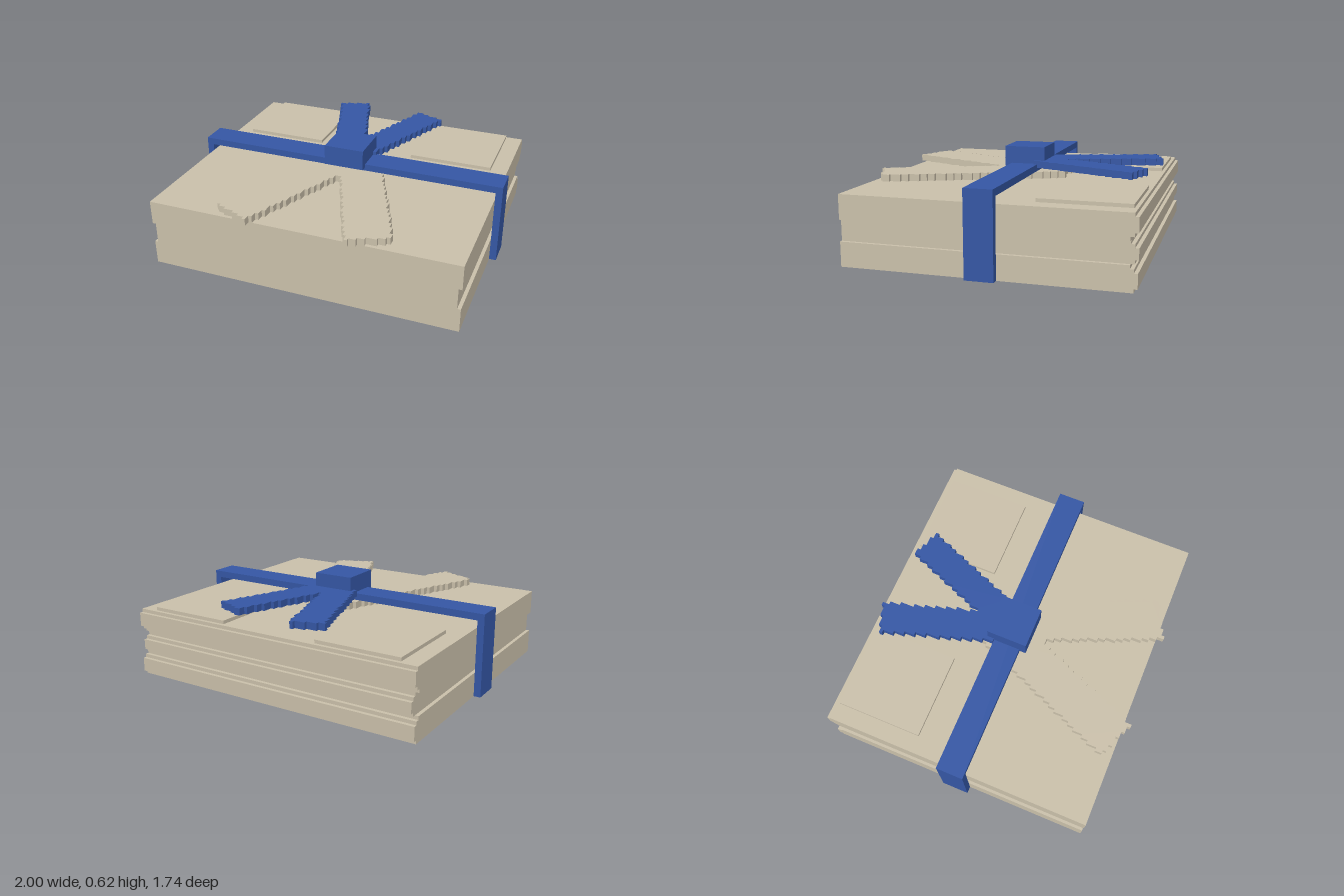
import * as THREE from 'three';

// The model sits on a grid of small cubes, 94 cells across
const U = 2 / 94;

export function createModel() {
  const model = new THREE.Group();
  const linen = new THREE.MeshStandardMaterial({ color: 0xcbc1ab });
  linen.name = 'linen';
  const blue = new THREE.MeshStandardMaterial({ color: 0x3557a5 });
  blue.name = 'ribbonBlue';

  const add = (name, geometry, material) => {
    const mesh = new THREE.Mesh(geometry.scale(U, U, U), material);
    mesh.name = name;
    model.add(mesh);
  };

  // Box given by its limits in cells
  const box = (name, material, x0, x1, y0, y1, z0, z1) => {
    const g = new THREE.BoxGeometry(x1 - x0, y1 - y0, z1 - z0);
    add(name, g.translate((x0 + x1) / 2, (y0 + y1) / 2, (z0 + z1) / 2), material);
  };

  // Folded layer: flat front at z = 39, stepped back edge listed as [top y, back z]
  const layer = (name, halfWidth, y0, steps) => {
    const points = [new THREE.Vector2(39, y0)];
    let y = y0;
    for (const [top, back] of steps) {
      points.push(new THREE.Vector2(back, y), new THREE.Vector2(back, top));
      y = top;
    }
    points.push(new THREE.Vector2(39, y));
    const g = new THREE.ExtrudeGeometry(new THREE.Shape(points), { depth: halfWidth * 2, bevelEnabled: false });
    add(name, g.rotateY(-Math.PI / 2).translate(halfWidth, 0, 0), linen);
  };

  // Slanted band with a stepped outline, from one end centre to the other
  const band = (name, material, [ax, az], [bx, bz], width, y0, y1) => {
    const length = Math.hypot(bx - ax, bz - az);
    const dx = (bx - ax) / length, dz = (bz - az) / length;
    const inside = (x, z) => {
      const along = (x - ax) * dx + (z - az) * dz;
      const across = (x - ax) * dz - (z - az) * dx;
      return along >= 0 && along <= length && Math.abs(across) <= width / 2;
    };
    const leftSide = [], rightSide = [];
    for (let z = -45; z < 45; z++) {
      let min = Infinity, max = -Infinity;
      for (let x = -45; x < 45; x++) {
        if (!inside(x + 0.5, z + 0.5)) continue;
        min = Math.min(min, x);
        max = Math.max(max, x + 1);
      }
      if (max < min) continue;
      leftSide.push([min, z], [min, z + 1]);
      rightSide.push([max, z], [max, z + 1]);
    }
    const outline = [...leftSide, ...rightSide.reverse()].map(([x, z]) => new THREE.Vector2(x, -z));
    const g = new THREE.ExtrudeGeometry(new THREE.Shape(outline), { depth: y1 - y0, bevelEnabled: false });
    add(name, g.rotateX(-Math.PI / 2).translate(0, y0, 0), material);
  };

  // Stack of three folded layers, the middle one slightly narrower
  layer('bottomLayer', 45, 0, [[1, -40], [5, -41], [6, -40], [7, -39]]);
  layer('middleLayer', 44, 7, [[8, -40], [11, -41], [12, -40], [13, -39]]);
  layer('topLayer', 45, 13, [[14, -39], [15, -40], [19, -41], [20, -40]]);

  // Mirrored patches and crossed sleeves on the top
  for (const [side, s] of [['left', 1], ['right', -1]]) {
    box(side + 'Patch', linen, s > 0 ? 15 : -40, s > 0 ? 40 : -15, 20, 21, -39, -14);
    band(side + 'Sleeve', linen, [s * -1, -10.8], [s * 19.8, 38.3], 12.4, 20, 22);
    box(side + 'StrapEnd', blue, s > 0 ? 45 : -47, s > 0 ? 47 : -45, 0, 22, -5, 3);
  }

  // Ribbon: strap, two loose tails and the knot
  box('strap', blue, -47, 47, 22, 24, -5, 3);
  band('rightTail', blue, [-1.9, -4.9], [-12.4, -38.4], 9, 23, 25);
  band('leftTail', blue, [2.2, -5.6], [14.6, -36.4], 9, 23, 25);
  box('knot', blue, -6, 6, 23, 29, -7, 5);

  return model;
}
